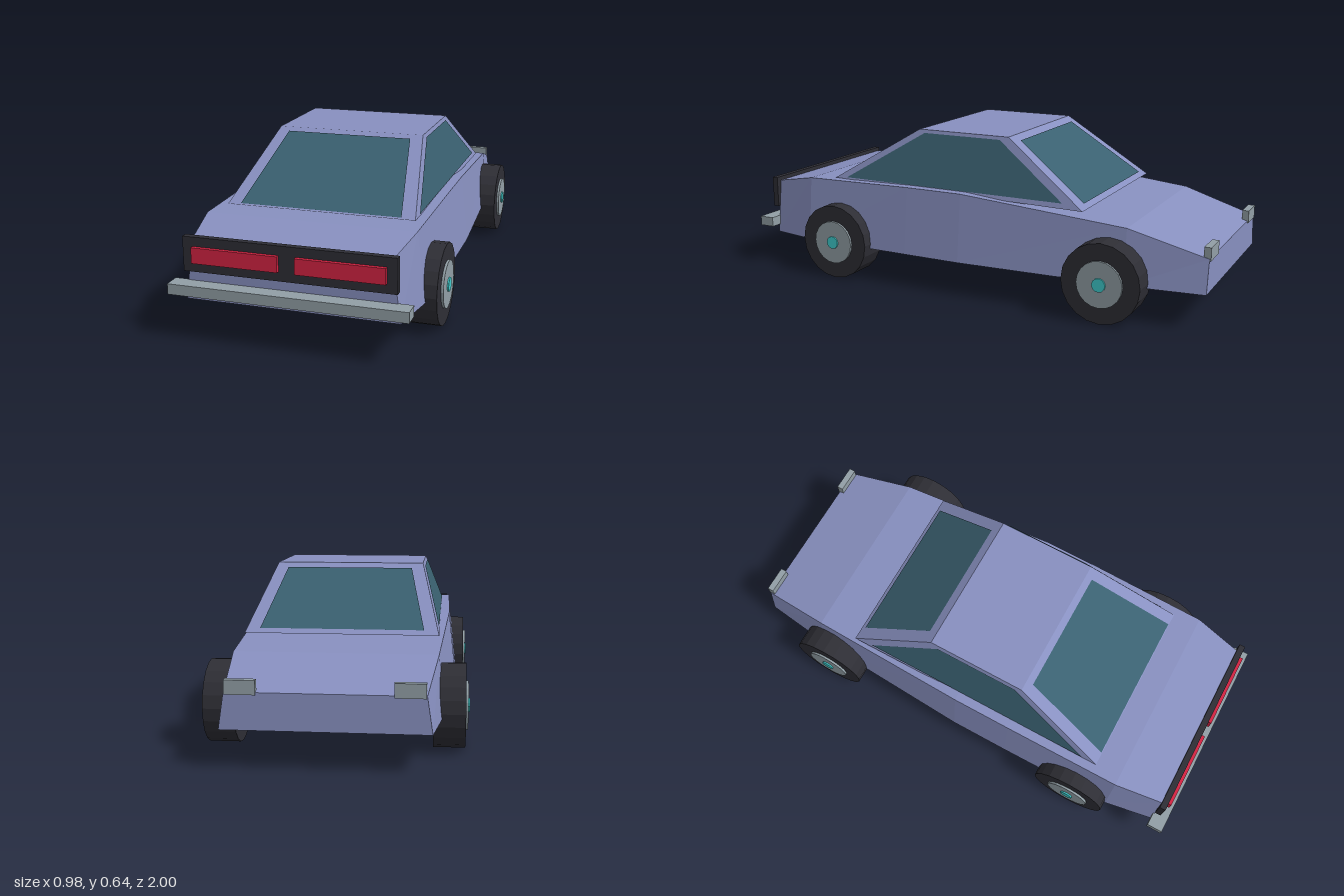
import * as THREE from 'three';

const material = (name, color, options = {}) => {
  const m = new THREE.MeshStandardMaterial({ color, flatShading: true, ...options });
  m.name = name;
  return m;
};

// Flat-faced skin over four-cornered rings; corners run anticlockwise seen from the first ring's end
function loft(rings) {
  const out = [];
  const quad = (a, b, c, d) => out.push(...a, ...b, ...c, ...a, ...c, ...d);
  quad(...rings[0]);
  for (let i = 0; i < rings.length - 1; i++) {
    const A = rings[i], B = rings[i + 1];
    for (let j = 0; j < 4; j++) quad(A[j], B[j], B[(j + 1) % 4], A[(j + 1) % 4]);
  }
  quad(...[...rings[rings.length - 1]].reverse());
  return fromPositions(out);
}

function fromPositions(list) {
  const g = new THREE.BufferGeometry();
  g.setAttribute('position', new THREE.Float32BufferAttribute(list, 3));
  g.computeVertexNormals();
  return g;
}

// Single pane, lifted slightly off the surface it lies on
function pane(a, b, c, d) {
  const g = fromPositions([...a, ...b, ...c, ...a, ...c, ...d]);
  const n = new THREE.Vector3().fromBufferAttribute(g.attributes.normal, 0).multiplyScalar(0.004);
  return g.translate(n.x, n.y, n.z);
}

export function createModel() {
  const car = new THREE.Group();
  car.name = 'car';
  const paint = material('body paint', 0x8890c0);
  const glass = material('window glass', 0x3a6070, { side: THREE.DoubleSide });
  const rubber = material('black rubber', 0x2e2e35);
  const metal = material('grey metal', 0x929fa6);
  const red = material('red lamp', 0xd42342);
  const cyan = material('cyan cap', 0x40cfd0);

  const add = (name, geometry, mat, parent = car) => {
    const m = new THREE.Mesh(geometry, mat);
    m.name = name;
    parent.add(m);
    return m;
  };
  const box = (name, mat, [x0, x1], [y0, y1], [z0, z1]) =>
    add(name, new THREE.BoxGeometry(x1 - x0, y1 - y0, z1 - z0)
      .translate((x0 + x1) / 2, (y0 + y1) / 2, (z0 + z1) / 2), mat);

  // Lower body: z, top height, half width at top, half width at bottom
  const stations = [
    [0.94, 0.366, 0.37, 0.40],
    [0.74, 0.405, 0.405, 0.435],
    [0.25, 0.415, 0.41, 0.44],
    [0.0, 0.415, 0.41, 0.44],
    [-0.69, 0.355, 0.378, 0.403],
    [-0.995, 0.27, 0.345, 0.365],
  ];
  add('body', loft(stations.map(([z, y, t, b]) =>
    [[-b, 0.138, z], [b, 0.138, z], [t, y, z], [-t, y, z]])), paint);

  // Cabin: sides lean in evenly with height
  const sideX = (y) => 0.37 - (y - 0.41) * 0.304;
  const cabinRing = (yBack, zBack, yFront, zFront) => [
    [-sideX(yBack), yBack, zBack], [sideX(yBack), yBack, zBack],
    [sideX(yFront), yFront, zFront], [-sideX(yFront), yFront, zFront],
  ];
  add('cabin', loft([cabinRing(0.64, 0.25, 0.64, -0.16), cabinRing(0.41, 0.635, 0.395, -0.51)]), paint);

  // Windows
  add('rearWindow', pane([-0.317, 0.413, 0.63], [0.317, 0.413, 0.63],
    [0.255, 0.625, 0.275], [-0.255, 0.625, 0.275]), glass);
  add('windshield', pane([0.317, 0.409, -0.49], [-0.317, 0.409, -0.49],
    [-0.255, 0.619, -0.19], [0.255, 0.619, -0.19]), glass);
  const outline = [[0.416, 0.575], [0.416, -0.425], [0.626, -0.125], [0.626, 0.222]];
  for (const s of [1, -1]) {
    const corners = outline.map(([y, z]) => [s * sideX(y), y, z]);
    if (s < 0) corners.reverse();
    add(s > 0 ? 'leftWindow' : 'rightWindow', pane(...corners), glass);
  }

  // Tail panel, lamps and rear bumper
  box('tailPanel', rubber, [-0.395, 0.395], [0.253, 0.383], [0.938, 0.963]);
  box('rearBumper', metal, [-0.445, 0.445], [0.171, 0.211], [0.935, 1.0]);
  for (const s of [1, -1]) {
    const span = (a, b) => (s > 0 ? [a, b] : [-b, -a]);
    box('tailLamp', red, span(0.032, 0.357), [0.289, 0.348], [0.955, 0.978]);
    box('frontLamp', metal, span(0.235, 0.343), [0.262, 0.313], [-1.0, -0.973]);
  }

  // Wheels: tyre, hub and cap are discs along x, from inner to outer distance
  const disc = (name, mat, parent, s, radius, inner, outer, sides) =>
    add(name, new THREE.CylinderGeometry(radius, radius, outer - inner, sides)
      .rotateZ(Math.PI / 2).translate(s * (inner + outer) / 2, 0, 0), mat, parent);
  for (const [place, z] of [['front', -0.625], ['rear', 0.578]]) {
    for (const s of [1, -1]) {
      const wheel = new THREE.Group();
      wheel.name = `${place}${s > 0 ? 'Left' : 'Right'}Wheel`;
      wheel.position.set(0, 0.157, z);
      disc('tyre', rubber, wheel, s, 0.157, 0.36, 0.477, 20);
      disc('hub', metal, wheel, s, 0.091, 0.46, 0.486, 20);
      disc('hubCap', cyan, wheel, s, 0.027, 0.47, 0.492, 12);
      car.add(wheel);
    }
  }
  return car;
}
